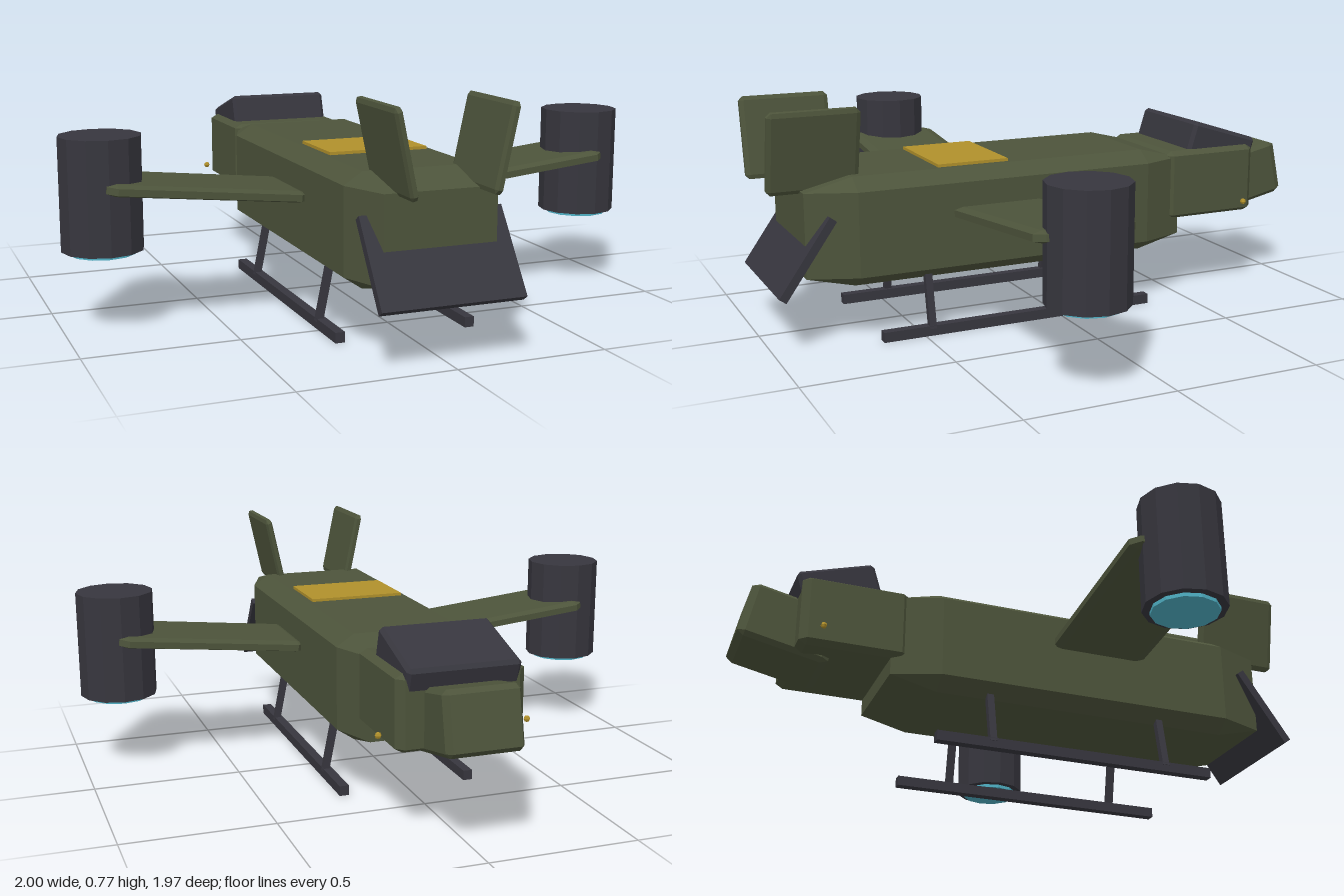
import * as THREE from 'three';
import { ConvexGeometry } from 'three/addons/geometries/ConvexGeometry.js';

const mat = (name, color) => {
  const m = new THREE.MeshStandardMaterial({ color });
  m.name = name;
  m.flatShading = true;
  return m;
};

// Box with a separate chamfer along each axis
function chamferBox(w, h, d, bx, by, bz) {
  const X = w / 2, Y = h / 2, Z = d / 2, pts = [];
  for (const i of [-1, 1]) for (const j of [-1, 1]) for (const k of [-1, 1]) {
    pts.push(
      new THREE.Vector3(i * X, j * (Y - by), k * (Z - bz)),
      new THREE.Vector3(i * (X - bx), j * Y, k * (Z - bz)),
      new THREE.Vector3(i * (X - bx), j * (Y - by), k * Z));
  }
  return new ConvexGeometry(pts);
}

export function createModel() {
  const green = mat('olive hull', 0x4d543b);
  const dark = mat('dark metal', 0x37363e);
  const gold = mat('ochre marking', 0xb0902b);
  const teal = mat('engine glow', 0x4fb0c4);

  const model = new THREE.Group();
  model.name = 'dropship';
  const add = (name, geometry, material, x, y, z) => {
    const mesh = new THREE.Mesh(geometry, material);
    mesh.name = name;
    mesh.position.set(x, y, z);
    model.add(mesh);
    return mesh;
  };

  // Fuselage, cockpit block, upturned nose and sloping canopy
  add('fuselage', chamferBox(0.49, 0.36, 1.37, 0.06, 0.04, 0.16), green, 0, 0.37, 0.195);
  add('cockpit', chamferBox(0.42, 0.245, 0.365, 0.025, 0.015, 0.025), green, 0, 0.41, -0.615);
  add('nose', chamferBox(0.25, 0.2, 0.31, 0.015, 0.015, 0.025), green, 0, 0.392, -0.815).rotation.x = 0.21;
  add('canopy', chamferBox(0.37, 0.16, 0.27, 0.012, 0.012, 0.012), dark, 0, 0.514, -0.666).rotation.x = -0.3;

  // Roof panel and tail ramp
  add('roofPanel', new THREE.BoxGeometry(0.34, 0.012, 0.25), gold, 0, 0.554, 0.297);
  add('ramp', new THREE.BoxGeometry(0.47, 0.3, 0.028), dark, 0, 0.306, 0.886).rotation.x = -0.61;

  for (const s of [-1, 1]) {
    const side = s > 0 ? 'left' : 'right';

    // Wing with a tip engine
    add(side + 'Wing', chamferBox(0.655, 0.038, 0.335, 0.03, 0.008, 0.03), green, s * 0.552, 0.443, 0.233)
      .rotation.z = s * 0.105;
    add(side + 'Engine', new THREE.CylinderGeometry(0.132, 0.132, 0.365, 12), dark, s * 0.868, 0.4465, 0.233);
    add(side + 'EngineGlow', new THREE.CylinderGeometry(0.107, 0.107, 0.014, 12), teal, s * 0.868, 0.259, 0.233);

    // Canted tail fin
    add(side + 'Fin', chamferBox(0.026, 0.275, 0.3, 0.006, 0.014, 0.014), green, s * 0.16, 0.637, 0.837)
      .rotation.z = -s * 0.21;

    // Marker light beside the cockpit
    add(side + 'Light', new THREE.SphereGeometry(0.011, 6, 4), gold, s * 0.246, 0.335, -0.73);

    // Landing skid with two splayed struts
    add(side + 'Skid', new THREE.BoxGeometry(0.032, 0.034, 0.985), dark, s * 0.224, 0.017, 0.152);
    for (const z of [0.475, -0.148]) {
      add(side + 'SkidStrut', new THREE.BoxGeometry(0.022, 0.19, 0.024), dark, s * 0.212, 0.115, z)
        .rotation.z = s * 0.2;
    }
  }
  return model;
}
